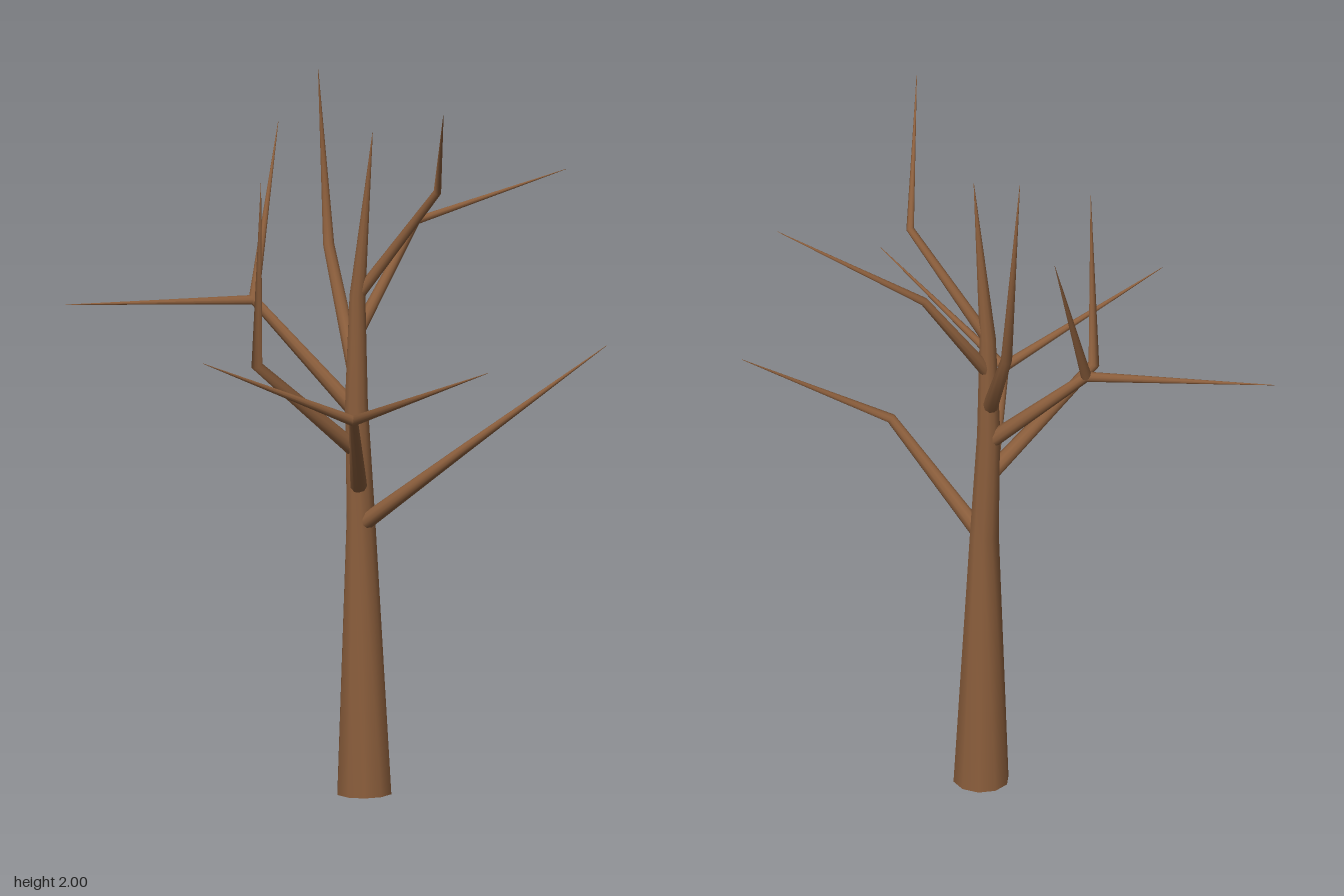
import * as THREE from 'three';

const SIDES = 10;

// Smooth tapering limb through [x, y, z, radius] rings, mitred at each bend
function limbGeometry(rings) {
  const centres = rings.map(([x, y, z]) => new THREE.Vector3(x, y, z));
  const positions = [], indices = [];
  let u = new THREE.Vector3(0.31, 0.05, 0.95);
  rings.forEach((ring, i) => {
    const tangent = new THREE.Vector3();
    if (i > 0) tangent.add(centres[i].clone().sub(centres[i - 1]).normalize());
    if (i < rings.length - 1) tangent.add(centres[i + 1].clone().sub(centres[i]).normalize());
    tangent.normalize();
    u = u.clone().addScaledVector(tangent, -u.dot(tangent)).normalize();
    const v = tangent.clone().cross(u);
    for (let s = 0; s < SIDES; s++) {
      const a = (s / SIDES) * Math.PI * 2;
      const p = centres[i].clone()
        .addScaledVector(u, Math.cos(a) * ring[3])
        .addScaledVector(v, Math.sin(a) * ring[3]);
      positions.push(p.x, p.y, p.z);
      if (i > 0) {
        const n = (s + 1) % SIDES, lo = (i - 1) * SIDES, hi = i * SIDES;
        indices.push(lo + s, lo + n, hi + s, lo + n, hi + n, hi + s);
      }
    }
  });
  const geometry = new THREE.BufferGeometry();
  geometry.setAttribute('position', new THREE.Float32BufferAttribute(positions, 3));
  geometry.setIndex(indices);
  geometry.computeVertexNormals();
  return geometry;
}

export function createModel() {
  const bark = new THREE.MeshStandardMaterial({ color: 0x8b5e3c, side: THREE.DoubleSide });
  bark.name = 'brown bark';
  const tree = new THREE.Group();
  tree.name = 'bareTree';

  const addLimb = (parent, name, rings) => {
    const mesh = new THREE.Mesh(limbGeometry(rings), bark);
    mesh.name = name;
    parent.add(mesh);
  };

  // Trunk, open at the foot, running up into the leader
  addLimb(tree, 'trunk', [
    [0.08, 0, -0.21, 0.078], [0.07, 0.78, -0.21, 0.041], [0.057, 1.1, -0.21, 0.033],
    [0.06, 1.4, -0.21, 0.023], [0.11, 1.87, -0.19, 0.0006],
  ]);

  // Branches: root and joint with radius, then one or two twig tips
  const branches = [
    { name: 'lowLeftBranch', root: [0.09, 0.77, -0.195, 0.023], joint: [0.4, 1.01, -0.09, 0.014],
      tips: [[0.73, 1.27, -0.37]] },
    { name: 'frontBranch', root: [0.07, 0.87, -0.19, 0.024], joint: [0.15, 1.12, 0.12, 0.015],
      tips: [[0.59, 1.315, 0.285], [-0.18, 1.33, 0.46]] },
    { name: 'frontRightBranch', root: [0.055, 0.97, -0.2, 0.023], joint: [-0.155, 1.24, 0.035, 0.016],
      tips: [[-0.137, 1.76, 0.055]] },
    { name: 'rightBranch', root: [0.05, 1.08, -0.21, 0.023], joint: [-0.25, 1.365, -0.243, 0.015],
      tips: [[-0.74, 1.355, -0.068], [-0.245, 1.825, -0.455]] },
    { name: 'backRightBranch', root: [0.05, 1.19, -0.215, 0.022], joint: [-0.097, 1.49, -0.448, 0.016],
      tips: [[-0.1, 2, -0.36]] },
    { name: 'backLeftBranch', root: [0.06, 1.3, -0.215, 0.019], joint: [0.175, 1.585, -0.388, 0.012],
      tips: [[0.59, 1.745, -0.445]] },
    { name: 'topLeftBranch', root: [0.06, 1.4, -0.21, 0.017], joint: [0.287, 1.705, -0.223, 0.011],
      tips: [[0.406, 1.995, 0.105]] },
  ];
  for (const { name, root, joint, tips } of branches) {
    const branch = new THREE.Group();
    branch.name = name;
    addLimb(branch, 'bough', [root, joint, [...tips[0], 0.0006]]);
    for (const tip of tips.slice(1)) addLimb(branch, 'forkTwig', [joint, [...tip, 0.0006]]);
    tree.add(branch);
  }
  return tree;
}
